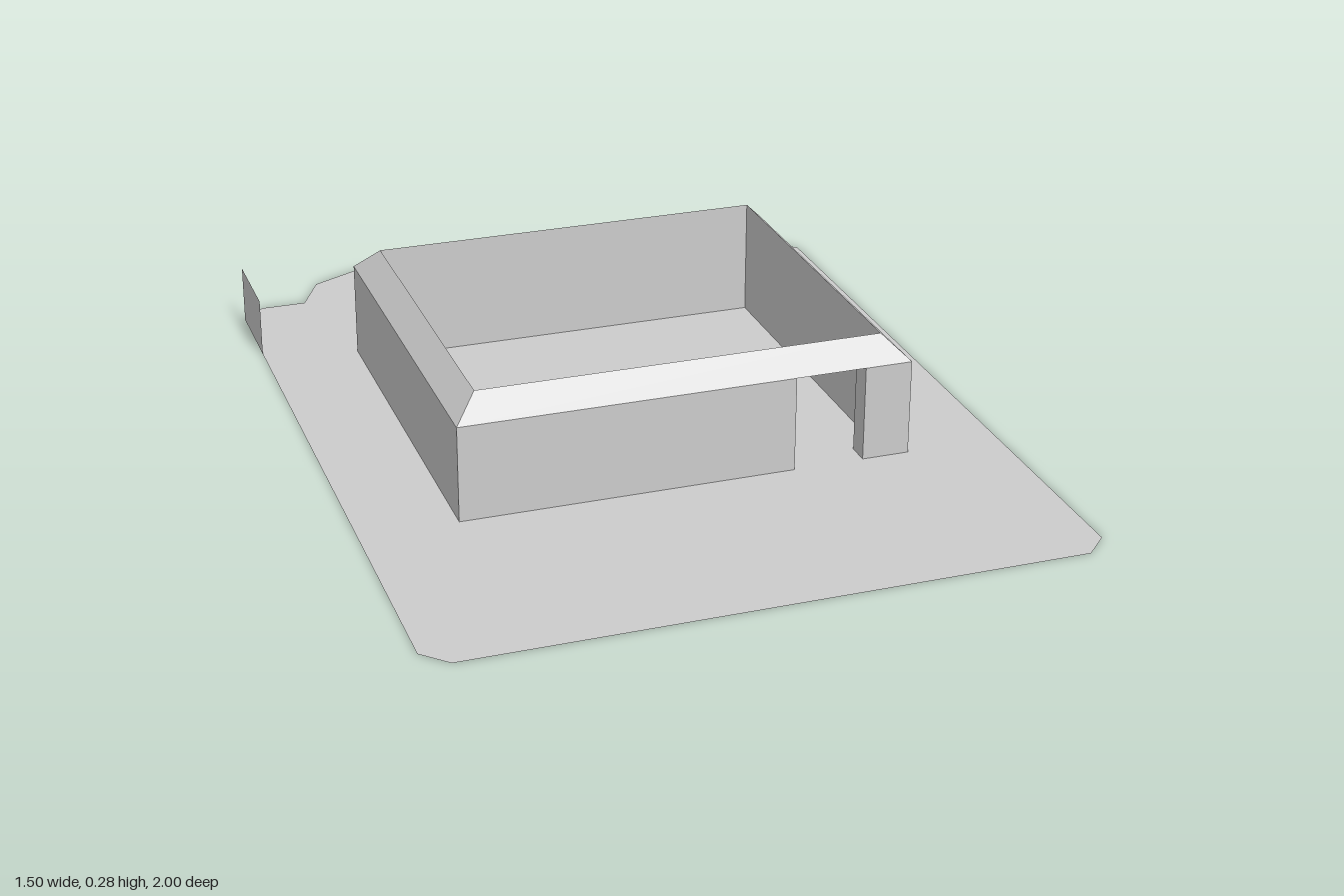
import * as THREE from 'three';

const OUT = { x: 0.526, front: 0.44, back: -0.5 };   // outer wall face
const INN = { x: 0.471, front: 0.386, back: -0.447 }; // inner wall face
const EAVE = 0.225, TOP = 0.28;
const DOOR = { x0: 0.25, x1: 0.415, inner: 0.2 };

// Corners of a rectangle at height y, going front left, front right, back right, back left
const ring = (r, y) => [[-r.x, y, r.front], [r.x, y, r.front], [r.x, y, r.back], [-r.x, y, r.back]];

// Flat-sided mesh from four-cornered faces
function quadMesh(name, quads, material) {
  const pos = quads.flatMap(([a, b, c, d]) => [a, b, c, a, c, d]).flat();
  const geo = new THREE.BufferGeometry();
  geo.setAttribute('position', new THREE.Float32BufferAttribute(pos, 3));
  geo.computeVertexNormals();
  const mesh = new THREE.Mesh(geo, material);
  mesh.name = name;
  return mesh;
}

// Upright rectangle facing the front
const frontQuad = (x0, x1, y0, y1, z) => [[x0, y0, z], [x1, y0, z], [x1, y1, z], [x0, y1, z]];

export function createModel() {
  const grey = new THREE.MeshStandardMaterial({ color: 0xcccccc, side: THREE.DoubleSide });
  grey.name = 'plainGrey';
  const model = new THREE.Group();
  model.name = 'walledYard';

  // Ground sheet, with the footprint of the hollow walls left open
  const points = (list) => list.map(([x, z]) => new THREE.Vector2(x, -z));
  const outline = new THREE.Shape(points([
    [-0.695, 1], [0.695, 1], [0.75, 0.945], [0.75, -0.78], [0.695, -0.835], [0.525, -0.835], [0.47, -0.945],
    [0.36, -1], [-0.42, -1], [-0.53, -0.945], [-0.585, -0.835], [-0.695, -0.835], [-0.75, -0.78], [-0.75, 0.945],
  ]));
  outline.holes.push(new THREE.Path(points([
    [DOOR.x0, OUT.front], [-OUT.x, OUT.front], [-OUT.x, OUT.back], [OUT.x, OUT.back], [OUT.x, OUT.front],
    [DOOR.x1, OUT.front], [DOOR.x1, INN.front], [INN.x, INN.front], [INN.x, INN.back], [-INN.x, INN.back],
    [-INN.x, INN.front], [DOOR.x0, INN.front],
  ])));
  const ground = new THREE.Mesh(new THREE.ShapeGeometry(outline).rotateX(-Math.PI / 2), grey);
  ground.name = 'ground';
  model.add(ground);

  // Walls: outer face, sloping cap and inner face on each side
  const o0 = ring(OUT, 0), o1 = ring(OUT, EAVE), i0 = ring(INN, 0), i1 = ring(INN, TOP);
  const outer = [], cap = [], inner = [];
  for (let k = 0; k < 4; k++) {
    const n = (k + 1) % 4;
    cap.push([o1[k], o1[n], i1[n], i1[k]]);
    if (k === 0) continue; // the front holds the doorway
    outer.push([o0[k], o0[n], o1[n], o1[k]]);
    inner.push([i0[n], i0[k], i1[k], i1[n]]);
  }
  outer.push(frontQuad(-OUT.x, DOOR.x0, 0, EAVE, OUT.front), frontQuad(DOOR.x1, OUT.x, 0, EAVE, OUT.front));
  inner.push(...[
    frontQuad(-INN.x, DOOR.x0, 0, TOP, INN.front),
    frontQuad(DOOR.x1, INN.x, 0, TOP, INN.front),
    frontQuad(DOOR.x0, DOOR.x1, DOOR.inner, TOP, INN.front),
  ].map((q) => q.reverse()));
  model.add(quadMesh('outerWalls', outer, grey), quadMesh('wallCap', cap, grey), quadMesh('innerWalls', inner, grey));

  // Doorway: two jambs and a soffit that drops toward the inside
  const jamb = (x) => [[x, 0, OUT.front], [x, 0, INN.front], [x, DOOR.inner, INN.front], [x, EAVE, OUT.front]];
  model.add(quadMesh('doorway', [
    jamb(DOOR.x0),
    jamb(DOOR.x1).reverse(),
    [[DOOR.x0, DOOR.inner, INN.front], [DOOR.x1, DOOR.inner, INN.front],
      [DOOR.x1, EAVE, OUT.front], [DOOR.x0, EAVE, OUT.front]],
  ], grey));

  // Small upright panel on the edge of the ground
  const panel = new THREE.Mesh(new THREE.PlaneGeometry(0.22, 0.14).rotateY(-Math.PI / 2), grey);
  panel.position.set(-0.75, 0.07, -0.666);
  panel.name = 'sidePanel';
  model.add(panel);

  return model;
}
